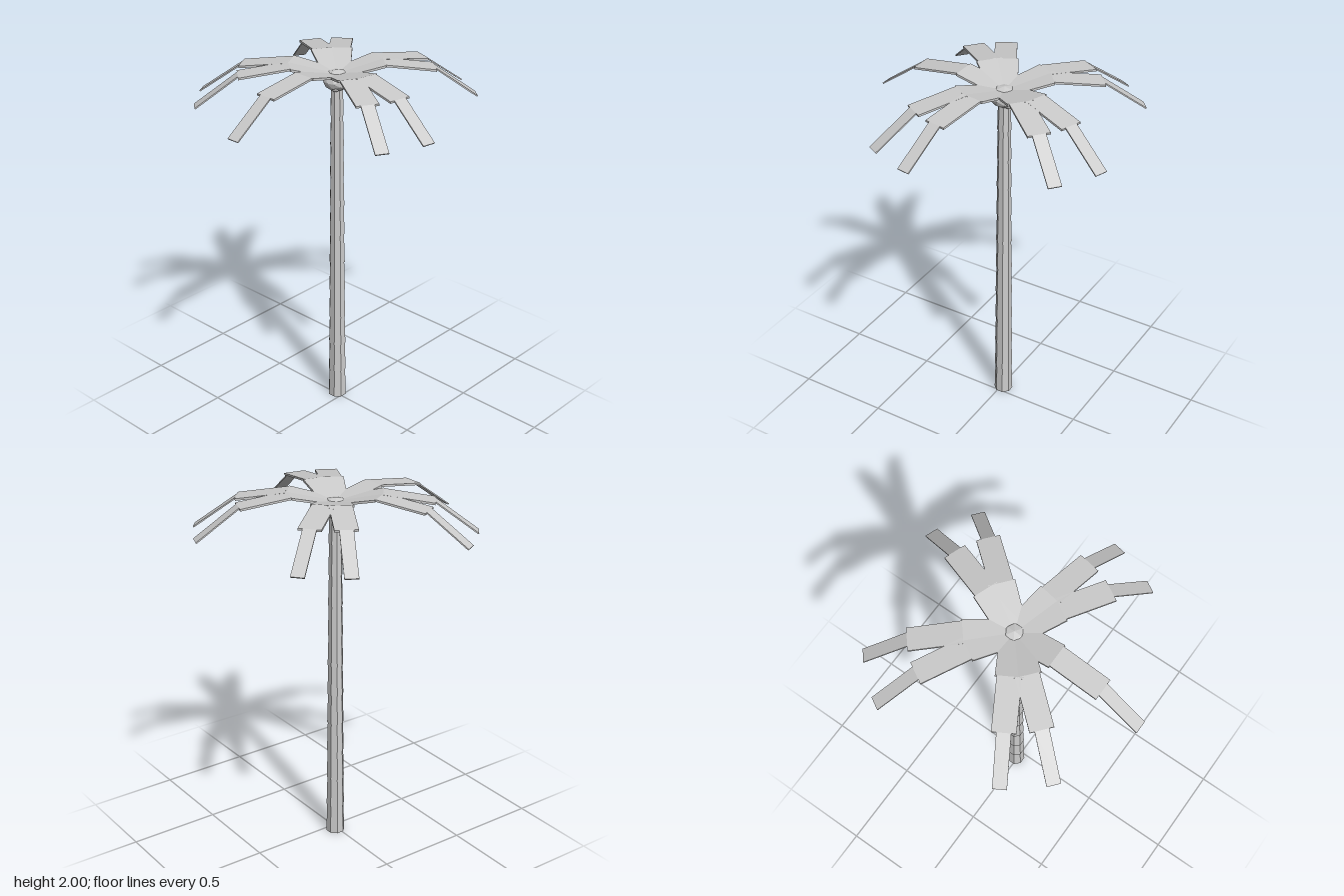
import * as THREE from 'three';

const material = new THREE.MeshStandardMaterial({ color: 0xcccccc, flatShading: true });

function addMesh(parent, name, geometry, x = 0, y = 0, z = 0) {
  const mesh = new THREE.Mesh(geometry, material);
  mesh.name = name;
  mesh.position.set(x, y, z);
  parent.add(mesh);
  return mesh;
}

// Stacked octagonal segments, each flaring out over the one below
function createTrunk() {
  const trunk = new THREE.Group();
  trunk.name = 'trunk';
  const count = 11, height = 0.172;
  for (let i = 0; i < count; i++) {
    const bottom = THREE.MathUtils.lerp(0.052, 0.037, i / (count - 1));
    const geometry = new THREE.CylinderGeometry(bottom - 0.005, bottom, height, 8);
    geometry.rotateY(Math.PI / 8);
    addMesh(trunk, 'trunkSegment', geometry, 0, (i + 0.5) * height, 0);
  }
  return trunk;
}

// Three flat slabs: rising from the crown, easing down, then drooping
const profile = [[0, 1.945], [0.243, 2.0], [0.508, 1.963], [0.733, 1.802]];
const widths = [0.135, 0.118, 0.07];
const thicknesses = [0.012, 0.011, 0.007];

function createFrond(angle) {
  const frond = new THREE.Group();
  frond.name = 'frond';
  widths.forEach((width, i) => {
    const [r0, y0] = profile[i], [r1, y1] = profile[i + 1];
    const geometry = new THREE.BoxGeometry(Math.hypot(r1 - r0, y1 - y0), thicknesses[i], width);
    geometry.translate(0, -thicknesses[i] / 2, 0);
    const slab = addMesh(frond, 'frondSegment', geometry, (r0 + r1) / 2, (y0 + y1) / 2, 0);
    slab.rotation.z = Math.atan2(y1 - y0, r1 - r0);
  });
  frond.rotation.y = THREE.MathUtils.degToRad(angle);
  return frond;
}

export function createModel() {
  const palm = new THREE.Group();
  palm.name = 'palmTree';
  palm.add(createTrunk());

  // Faceted crown with small nuts beneath it
  const crown = addMesh(palm, 'crown', new THREE.IcosahedronGeometry(0.074, 1), 0, 1.91, 0);
  crown.scale.y = 0.76;
  for (let i = 0; i < 3; i++) {
    const a = (i * 2 * Math.PI) / 3 + 0.5;
    addMesh(palm, 'nut', new THREE.IcosahedronGeometry(0.022, 1), 0.038 * Math.cos(a), 1.88, 0.038 * Math.sin(a));
  }

  // Fronds in pairs, plus a single one on the right
  for (const angle of [40, 60, 120, 140, 180, -20, -40, -100, -120]) palm.add(createFrond(angle));

  palm.position.set(0.013, 0, -0.04);
  const model = new THREE.Group();
  model.add(palm);
  return model;
}
